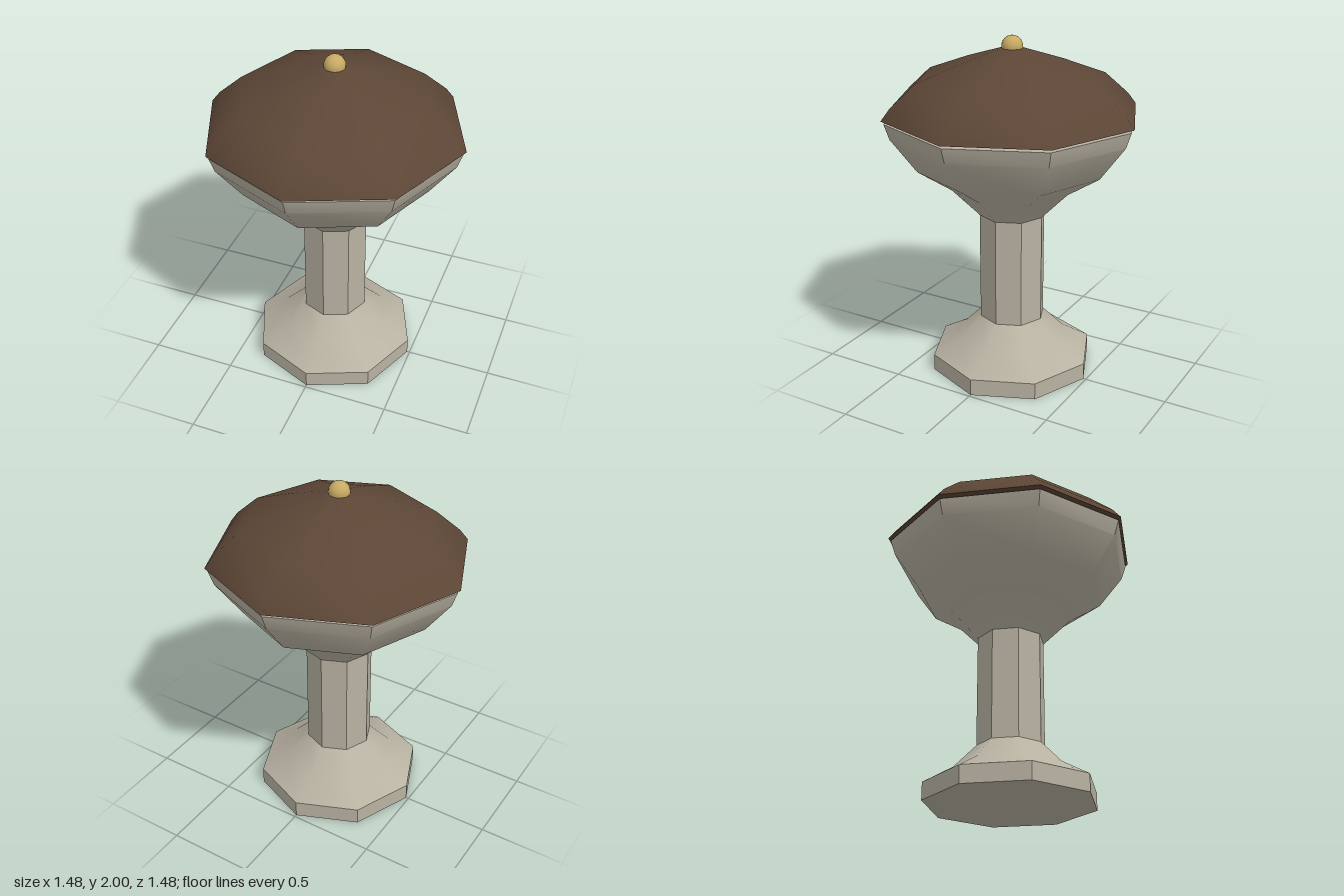
import * as THREE from 'three';
import { toCreasedNormals } from 'three/addons/utils/BufferGeometryUtils.js';

const SIDES = 8;
const CREASE = THREE.MathUtils.degToRad(40);

export function createModel() {
  const model = new THREE.Group();
  model.name = 'mushroomPillar';

  const material = (name, color) => {
    const m = new THREE.MeshStandardMaterial({ color });
    m.name = name;
    return m;
  };
  const stone = material('paleStone', 0xb8b2a2);
  const brown = material('darkBrown', 0x5c4636);
  const gold = material('gold', 0xc8aa64);

  const add = (name, geometry, mat, y = 0) => {
    const mesh = new THREE.Mesh(geometry, mat);
    mesh.name = name;
    mesh.position.y = y;
    model.add(mesh);
  };
  // Eight-sided turned part from [radius, height] pairs, bottom to top
  const turned = (profile) => toCreasedNormals(
    new THREE.LatheGeometry(profile.map(([r, y]) => new THREE.Vector2(r, y)), SIDES), CREASE);
  const prism = (r, h) => toCreasedNormals(
    new THREE.CylinderGeometry(r, r, h, SIDES), CREASE);

  // Foot and column
  add('plinth', prism(0.485, 0.1), stone, 0.05);
  add('footFlare', turned([[0.485, 0.1], [0.32, 0.195], [0.194, 0.325]]), stone);
  add('column', prism(0.194, 0.65), stone, 0.648);

  // Bowl, closed on top just below the roof
  add('bowl', turned([
    [0.194, 0.97], [0.355, 1.135], [0.548, 1.26], [0.695, 1.46], [0.725, 1.55], [0, 1.55],
  ]), stone);

  // Roof with a closed underside
  add('roof', turned([
    [0, 1.567], [0.74, 1.567], [0.69, 1.632], [0.547, 1.76], [0.29, 1.857], [0.06, 1.93], [0, 1.94],
  ]), brown);

  // Finial
  add('finial', new THREE.SphereGeometry(0.06, 16, 12), gold, 1.94);

  return model;
}
